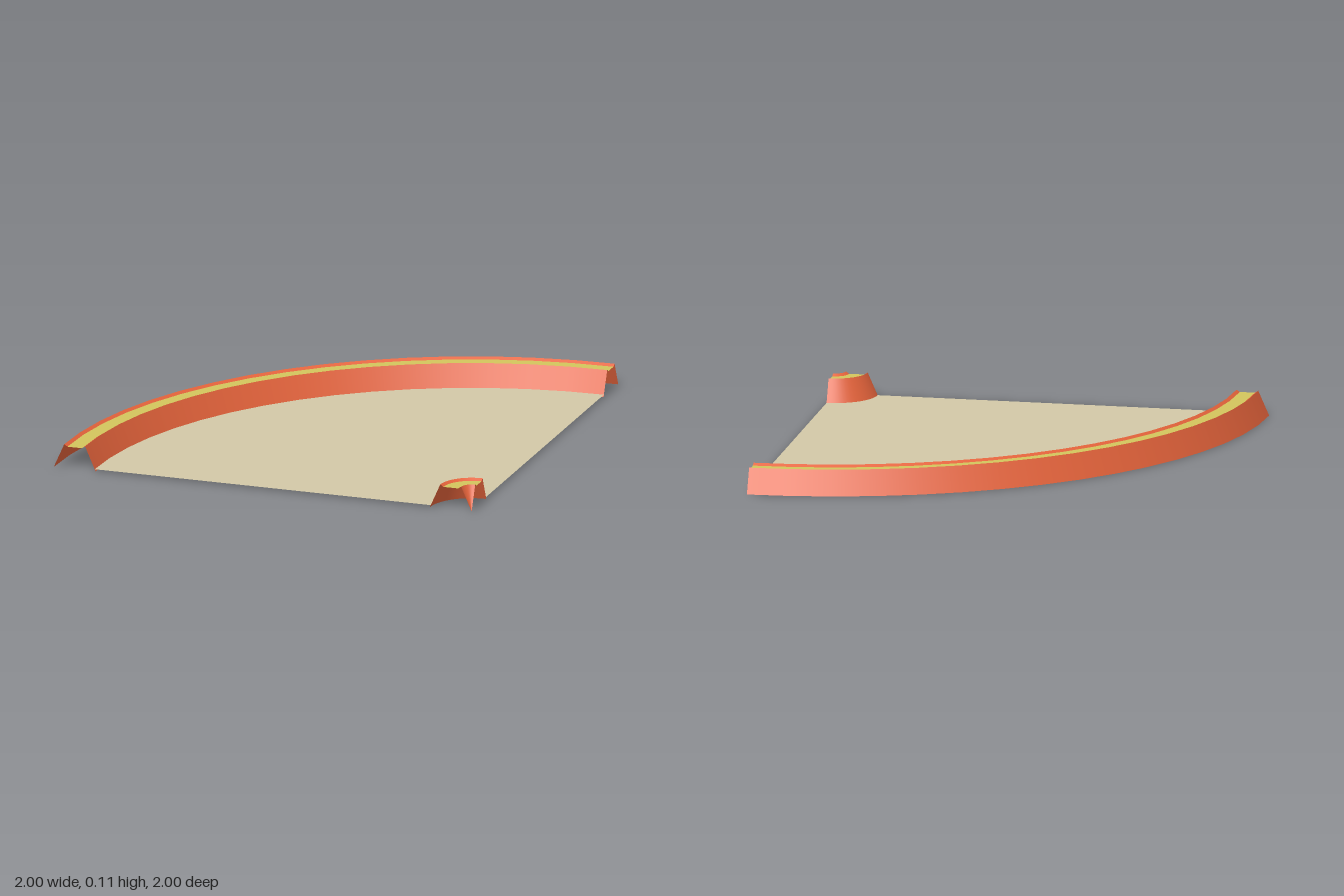
import * as THREE from 'three';

const material = (name, color) =>
  new THREE.MeshStandardMaterial({ name, color, side: THREE.DoubleSide });

export function createModel() {
  const orange = material('orange kerb', 0xe4633b);
  const yellow = material('yellow strip', 0xd2c55c);
  const sand = material('sand floor', 0xd2c8a7);
  const model = new THREE.Group();
  model.name = 'quarterCurve';

  // Quarter-turn band around the corner, from profile point a to point b
  function band(parent, name, mat, a, b) {
    const points = [new THREE.Vector2(...a), new THREE.Vector2(...b)];
    const mesh = new THREE.Mesh(new THREE.LatheGeometry(points, 16, Math.PI, Math.PI / 2), mat);
    mesh.name = name;
    mesh.position.set(1, 0, 1);
    parent.add(mesh);
  }

  // Hollow kerb: sloping walls, a narrow lip on each side and a recessed strip
  function kerb(name, inner) {
    const group = new THREE.Group();
    group.name = name;
    const profile = [
      [0.2, 0], [0.15, 0.113], [0.135, 0.103],
      [0.065, 0.103], [0.05, 0.113], [0, 0],
    ].map(([r, y]) => [r + inner, y]);
    const parts = ['outerWall', 'outerLip', 'topStrip', 'innerLip', 'innerWall'];
    parts.forEach((part, i) =>
      band(group, part, part === 'topStrip' ? yellow : orange, profile[i], profile[i + 1]));
    model.add(group);
  }

  kerb('outerKerb', 1.8);
  kerb('innerKerb', 0);

  // Flat floor between the two kerbs
  band(model, 'floor', sand, [1.804, 0.01], [0.196, 0.01]);

  return model;
}
